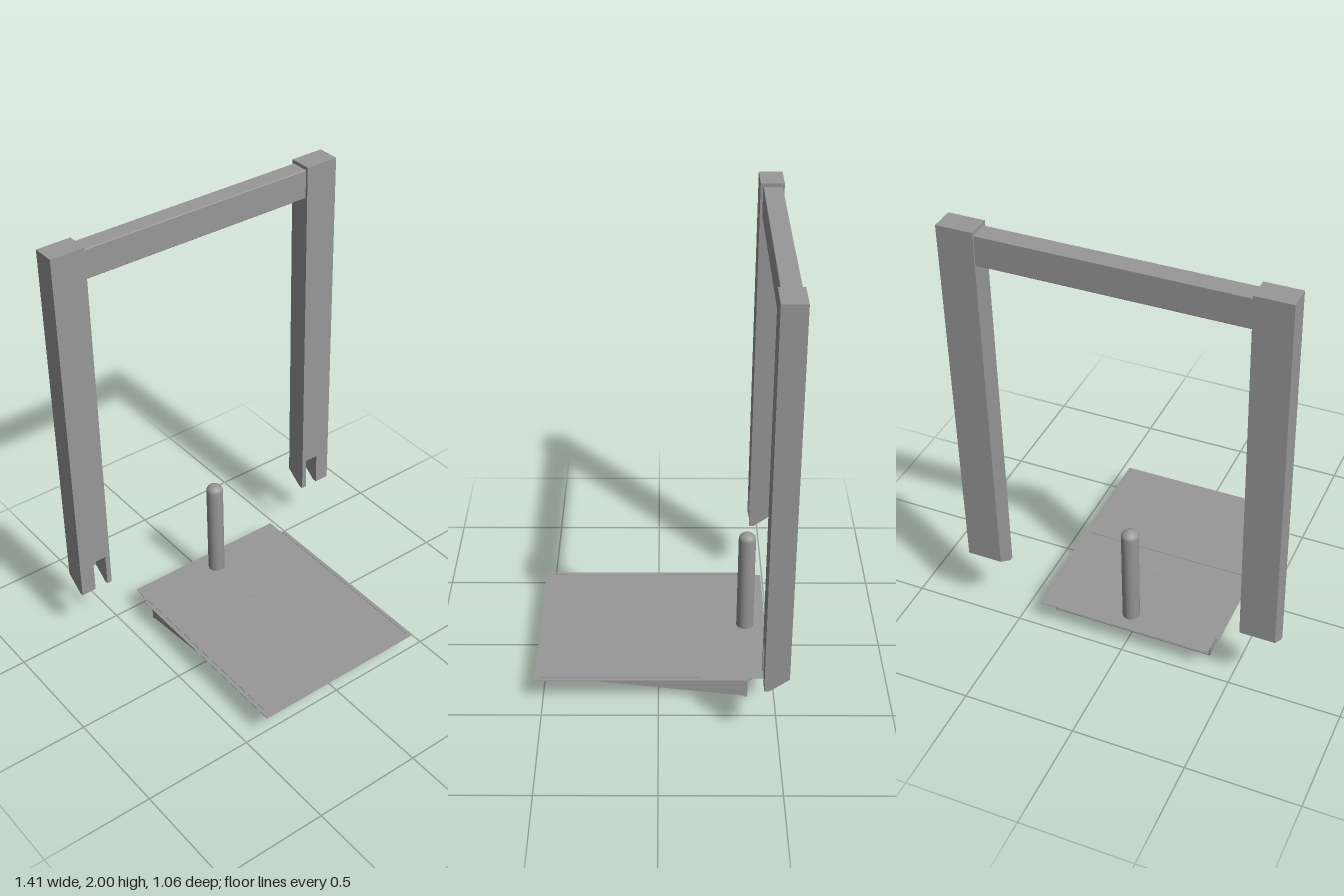
import * as THREE from 'three';
import { RoundedBoxGeometry } from 'three/addons/geometries/RoundedBoxGeometry.js';

const material = new THREE.MeshStandardMaterial({ color: 0x989898 });

function add(parent, name, geometry, x = 0, y = 0, z = 0) {
  const mesh = new THREE.Mesh(geometry, material);
  mesh.name = name;
  mesh.position.set(x, y, z);
  parent.add(mesh);
  return mesh;
}

// Box given by its limits on each axis
function block(parent, name, [x0, x1], [y0, y1], [z0, z1], bevel = 0) {
  const size = [x1 - x0, y1 - y0, z1 - z0];
  const geometry = bevel
    ? new RoundedBoxGeometry(...size, 2, bevel)
    : new THREE.BoxGeometry(...size);
  return add(parent, name, geometry, (x0 + x1) / 2, (y0 + y1) / 2, (z0 + z1) / 2);
}

// Closed outline from [u, v] pairs
const toPoints = (pairs) => pairs.map(([u, v]) => new THREE.Vector2(u, v));

// Side profile of [z, y] points, extruded across x
function prism(parent, name, points, x0, x1) {
  const shape = new THREE.Shape(toPoints(points));
  const geometry = new THREE.ExtrudeGeometry(shape, { depth: x1 - x0, bevelEnabled: false });
  geometry.rotateY(-Math.PI / 2);
  return add(parent, name, geometry, x1);
}

// Upright with a chamfered foot and a slot cut into the front of it
function createUpright(side) {
  const upright = new THREE.Group();
  upright.name = side > 0 ? 'leftUpright' : 'rightUpright';
  const back = [[-0.43, 2], [-0.532, 2], [-0.532, 0.352]];
  const solid = [...back, [-0.45, 0.292], [-0.43, 0.292]];
  const slotted = [...back, [-0.519, 0.342], [-0.519, 0.447], [-0.43, 0.447]];
  const slab = (name, profile, a, b) =>
    prism(upright, name, profile, Math.min(side * a, side * b), Math.max(side * a, side * b));
  slab('innerCheek', solid, 0.552, 0.575);
  slab('slottedCore', slotted, 0.575, 0.638);
  slab('outerCheek', solid, 0.638, 0.707);
  return upright;
}

// Thin T-shaped top plate with narrow grooves, drawn in x and -z
function createTopPlate() {
  const outline = [
    [-0.413, -0.532], [0.413, -0.532], [0.413, 0.39], [0.395, 0.39],
    [0.395, 0.48], [-0.395, 0.48], [-0.395, 0.39], [-0.413, 0.39],
  ];
  const plate = new THREE.Shape(toPoints(outline));
  const groove = (x0, x1, z0, z1) =>
    plate.holes.push(new THREE.Path(toPoints([[x0, -z0], [x0, -z1], [x1, -z1], [x1, -z0]])));
  groove(-0.398, -0.393, -0.385, 0.51);
  groove(0.393, 0.398, -0.385, 0.51);
  groove(-0.391, 0.391, 0.023, 0.027);
  const geometry = new THREE.ExtrudeGeometry(plate, { depth: 0.002, bevelEnabled: false });
  return geometry.rotateX(-Math.PI / 2);
}

function createRamp() {
  const ramp = new THREE.Group();
  ramp.name = 'ramp';

  // Wedge-shaped body with side cheeks reaching past the rear wall
  const bottom = (z) => 0.004 + (z + 0.385) * 0.1213;
  const wedge = (zBack) => [[0.528, 0.115], [zBack, 0.115], [zBack, bottom(zBack)]];
  prism(ramp, 'wedgeBody', wedge(-0.372), -0.365, 0.365);
  for (const side of [-1, 1]) {
    const inner = side * 0.365, outer = side * 0.373;
    prism(ramp, 'wedgeCheek', wedge(-0.385), Math.min(inner, outer), Math.max(inner, outer));
  }
  block(ramp, 'rearLip', [-0.373, 0.373], [0, 0.006], [-0.385, -0.372]);

  // Grooved top plate over a backing sheet, with two small marks
  block(ramp, 'backingSheet', [-0.411, 0.411], [0.114, 0.116], [-0.388, 0.53]);
  add(ramp, 'topPlate', createTopPlate(), 0, 0.116, 0);
  for (const z of [-0.12, 0.15]) {
    block(ramp, 'plateMark', [-0.013, 0.013], [0.117, 0.119], [z - 0.002, z + 0.002]);
  }

  // Hinge knuckles showing slightly through the plate
  const count = 9, pitch = 0.78 / count;
  for (let i = 0; i < count; i++) {
    const radius = i % 2 ? 0.006 : 0.008;
    const knuckle = new THREE.CylinderGeometry(radius, radius, pitch * 0.94, 12);
    knuckle.rotateZ(Math.PI / 2);
    add(ramp, 'hingeKnuckle', knuckle, (i - (count - 1) / 2) * pitch, 0.1105, -0.393);
  }
  return ramp;
}

// Round post with a domed end
function createPost() {
  const radius = 0.038, top = 0.603, dome = 0.03;
  const profile = [new THREE.Vector2(0, 0.112), new THREE.Vector2(radius, 0.112)];
  for (let i = 0; i <= 8; i++) {
    const a = (i / 8) * Math.PI / 2;
    profile.push(new THREE.Vector2(radius * Math.cos(a), top - dome + dome * Math.sin(a)));
  }
  return new THREE.LatheGeometry(profile, 32);
}

export function createModel() {
  const model = new THREE.Group();
  model.name = 'frameAndRamp';

  // Overhead frame
  model.add(createUpright(1), createUpright(-1));
  block(model, 'crossbar', [-0.56, 0.56], [1.853, 1.985], [-0.524, -0.441], 0.004);

  // Ramp and its post
  model.add(createRamp());
  add(model, 'post', createPost(), 0, 0, -0.388);

  return model;
}
